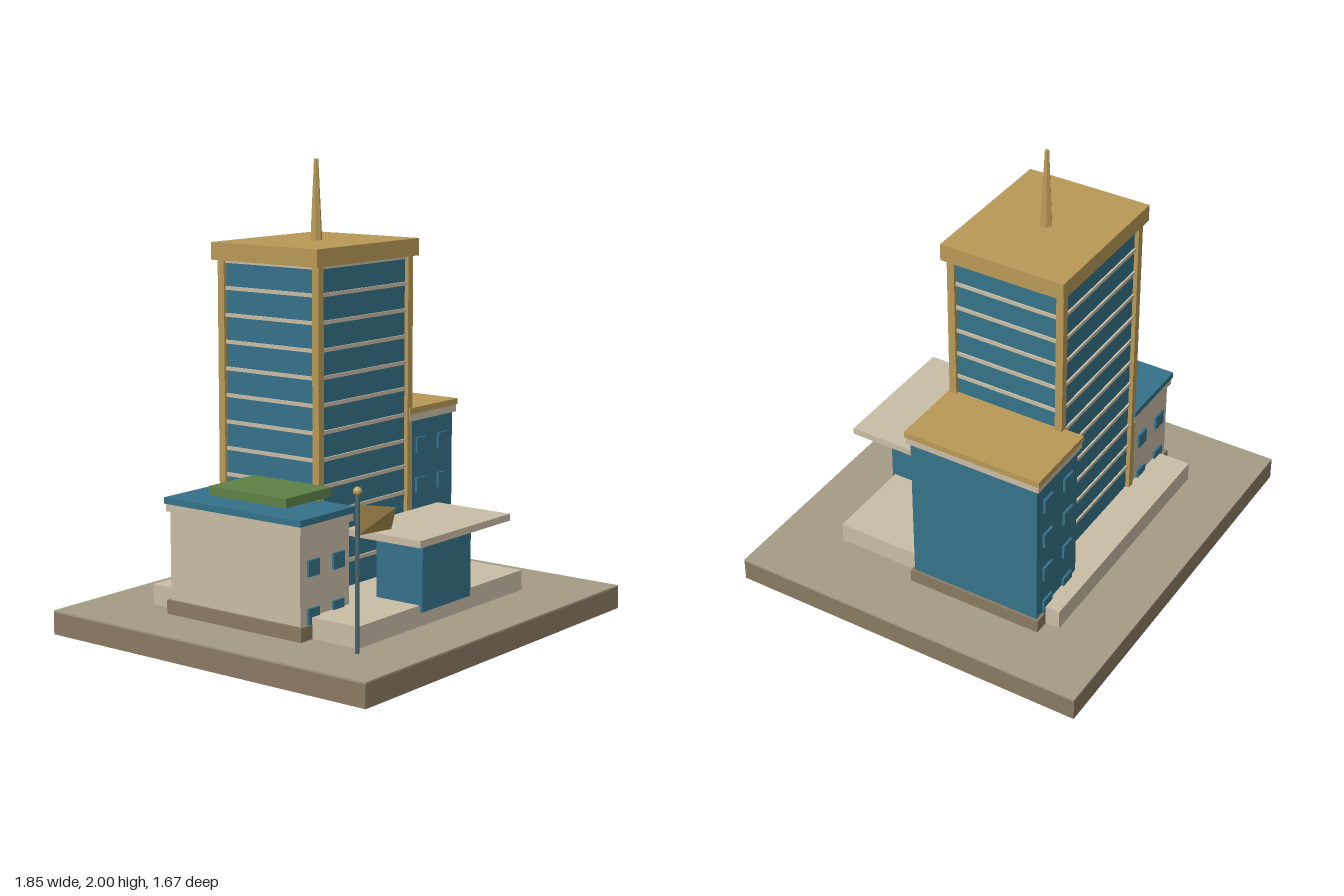
import * as THREE from 'three';

const paint = (color, extra = {}) => {
  const m = new THREE.MeshStandardMaterial({ flatShading: true, ...extra });
  m.color.set(color);
  return m;
};
const GOLD = paint(0xba9b57), BLUE = paint(0x35738a), CREAM = paint(0xcabea6),
  BROWN = paint(0x8b7b63), PAVING = paint(0xa69d86), GREEN = paint(0x5f8247), STEEL = paint(0x4a6670);

// Box given by its limits on each axis
function slab(parent, name, mat, [x0, x1], [y0, y1], [z0, z1]) {
  const mesh = new THREE.Mesh(new THREE.BoxGeometry(x1 - x0, y1 - y0, z1 - z0), mat);
  mesh.position.set((x0 + x1) / 2, (y0 + y1) / 2, (z0 + z1) / 2);
  mesh.name = name;
  parent.add(mesh);
  return mesh;
}

function part(parent, name) {
  const g = new THREE.Group();
  g.name = name;
  parent.add(g);
  return g;
}

// Side building: plinth, body, cornice, roof, and windows on front and back
function wing(parent, name, o) {
  const g = part(parent, name);
  const [x0, x1] = o.x, [z0, z1] = o.z, top = o.top;
  const grow = (d) => [[x0 - d, x1 + d], [z0 - d, z1 + d]];
  const [px, pz] = grow(0.013), [rx, rz] = grow(0.018);
  slab(g, 'plinth', BROWN, px, [0.105, 0.165], pz);
  slab(g, 'body', o.wall, o.x, [0.165, top], o.z);
  slab(g, 'cornice', CREAM, px, [top, top + 0.033], pz);
  slab(g, 'roof', o.roof, rx, [top + 0.033, top + 0.06], rz);
  for (let row = 0; row < o.rows; row++) {
    const y = 0.198 + row * o.step;
    for (const sx of [-1, 1]) {
      const x = (x0 + x1) / 2 + sx * 0.081;
      for (const z of [z0, z1]) {
        slab(g, 'window', BLUE, [x - 0.035, x + 0.035], [y - 0.034, y + 0.034], [z - 0.011, z + 0.011]);
      }
    }
  }
}

export function createModel() {
  const model = new THREE.Group();
  model.name = 'officeComplex';

  // Ground and podium
  slab(model, 'base', BROWN, [-0.925, 0.925], [0, 0.097], [-0.835, 0.835]);
  slab(model, 'paving', PAVING, [-0.925, 0.925], [0.097, 0.105], [-0.835, 0.835]);
  slab(model, 'podium', CREAM, [-0.59, 0.59], [0.105, 0.195], [-0.568, 0.54]);

  // Tower: glass core, floor bands, corner columns, roof and spire
  const tower = part(model, 'tower');
  const cz = -0.143;
  slab(tower, 'glass', BLUE, [-0.31, 0.31], [0.195, 1.58], [cz - 0.255, cz + 0.255]);
  for (let i = 1; i <= 12; i++) {
    const y = 0.195 + i * 0.115;
    slab(tower, 'floorBand', CREAM, [-0.317, 0.317], [y - 0.008, y + 0.008], [cz - 0.263, cz + 0.263]);
  }
  for (const sx of [-1, 1]) for (const sz of [-1, 1]) {
    const x = sx * 0.31, z = cz + sz * 0.257;
    slab(tower, 'cornerColumn', GOLD, [x - 0.017, x + 0.017], [0.195, 1.58], [z - 0.017, z + 0.017]);
  }
  slab(tower, 'towerRoof', GOLD, [-0.353, 0.353], [1.58, 1.655], [cz - 0.287, cz + 0.287]);
  const spire = new THREE.Mesh(new THREE.CylinderGeometry(0.01, 0.027, 0.345, 6), GOLD);
  spire.name = 'spire';
  spire.position.set(0, 1.8275, cz);
  tower.add(spire);

  // Side buildings
  wing(model, 'leftWing', {
    x: [0.32, 0.645], z: [-0.49, 0.12], top: 0.853, wall: BLUE, roof: GOLD, rows: 4, step: 0.18,
  });
  wing(model, 'rightWing', {
    x: [-0.652, -0.333], z: [-0.407, 0.295], top: 0.547, wall: CREAM, roof: BLUE, rows: 2, step: 0.2,
  });
  slab(model, 'roofGarden', GREEN, [-0.64, -0.35], [0.64, 0.679], [-0.2, 0.213]);

  // Entrance and canopy
  slab(model, 'entrance', BLUE, [-0.173, 0.173], [0.167, 0.48], [0.315, 0.553]);
  slab(model, 'canopy', CREAM, [-0.323, 0.323], [0.48, 0.51], [0.273, 0.65]);

  // Flagpole with ball and folded flag
  const flagpole = part(model, 'flagpole');
  const pole = new THREE.Mesh(new THREE.CylinderGeometry(0.009, 0.009, 0.645, 8), STEEL);
  pole.name = 'pole';
  pole.position.set(-0.64, 0.4275, 0.575);
  const ball = new THREE.Mesh(new THREE.SphereGeometry(0.019, 10, 8), GOLD);
  ball.name = 'ball';
  ball.position.set(-0.64, 0.757, 0.575);
  const geo = new THREE.BufferGeometry();
  geo.setAttribute('position', new THREE.Float32BufferAttribute([
    -0.635, 0.58, 0.575, -0.395, 0.56, 0.557, -0.43, 0.662, 0.607, -0.635, 0.703, 0.575,
  ], 3));
  geo.setIndex([0, 1, 2, 0, 2, 3]);
  geo.computeVertexNormals();
  const flag = new THREE.Mesh(geo, paint(0xba9b57, { side: THREE.DoubleSide }));
  flag.name = 'flag';
  flagpole.add(pole, ball, flag);

  return model;
}
